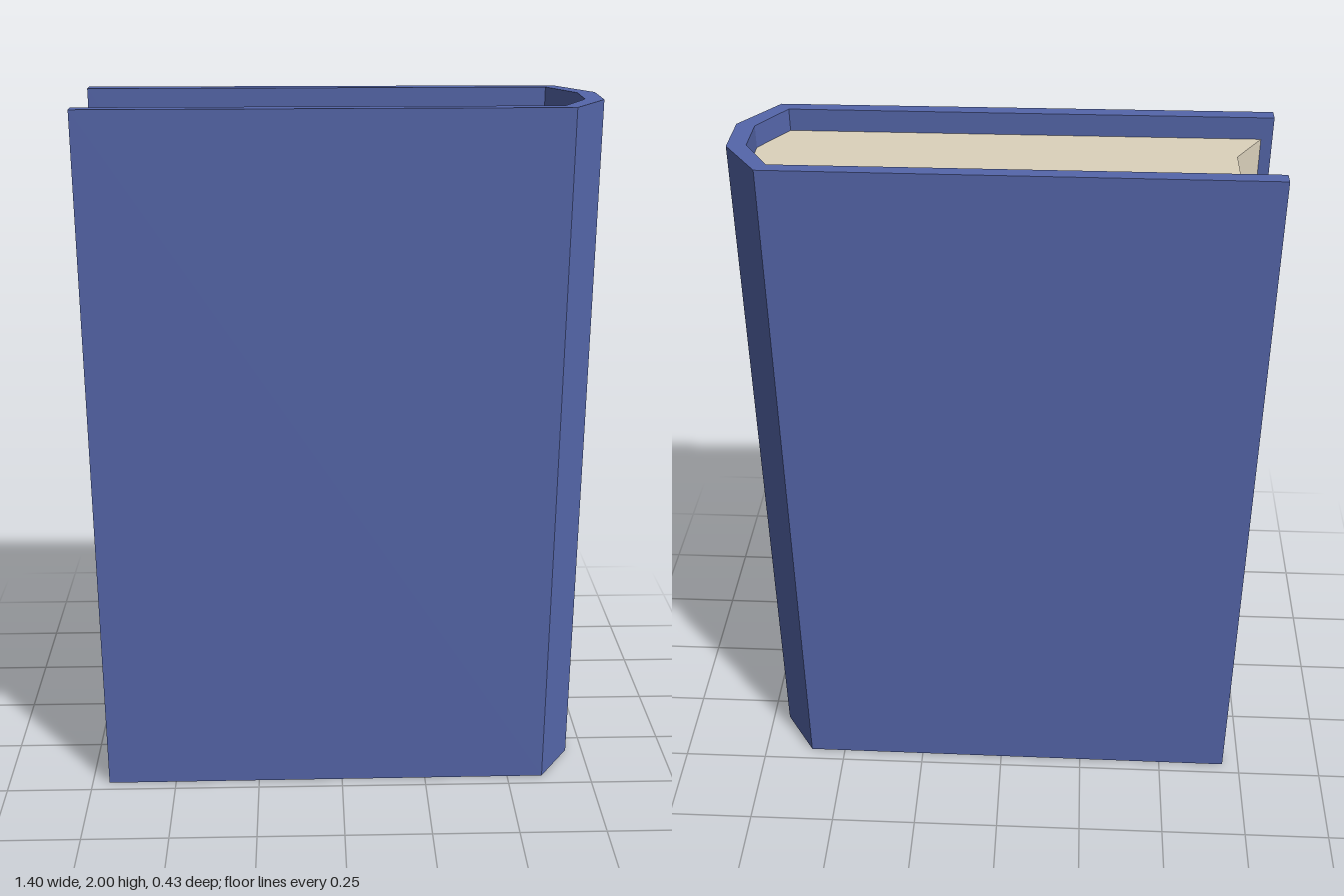
import * as THREE from 'three';

// Extrudes an outline that is mirrored across z = 0, standing from y0 to y1.
// half lists [x, z] points along the z > 0 side.
function mirroredPrism(half, y0, y1, material, name) {
  const other = half.map(([x, z]) => [x, -z]).reverse();
  const shape = new THREE.Shape([...half, ...other].map(([x, z]) => new THREE.Vector2(x, z)));
  const geometry = new THREE.ExtrudeGeometry(shape, { depth: y1 - y0, bevelEnabled: false });
  geometry.rotateX(-Math.PI / 2);
  geometry.translate(0, y0, 0);
  const mesh = new THREE.Mesh(geometry, material);
  mesh.name = name;
  return mesh;
}

export function createModel() {
  const blue = new THREE.MeshStandardMaterial({ color: 0x5566aa });
  blue.name = 'blue cover';
  const cream = new THREE.MeshStandardMaterial({ color: 0xdcd2bc });
  cream.name = 'cream paper';

  const book = new THREE.Group();
  book.name = 'book';

  // Cover: two boards joined by a faceted spine at +x, open at -x
  const cover = [
    [-0.7, 0.175], [-0.7, 0.215], [0.605, 0.21], [0.7, 0.07],
  ];
  const inside = [[0.65, 0.06], [0.58, 0.175], [-0.7, 0.175]];
  const outline = [
    ...cover.slice(1),
    ...cover.slice(1).map(([x, z]) => [x, -z]).reverse(),
    ...inside.map(([x, z]) => [x, -z]).reverse(),
    ...inside,
  ];
  const coverShape = new THREE.Shape(outline.map(([x, z]) => new THREE.Vector2(x, z)));
  const coverGeometry = new THREE.ExtrudeGeometry(coverShape, { depth: 2, bevelEnabled: false });
  coverGeometry.rotateX(-Math.PI / 2);
  const coverMesh = new THREE.Mesh(coverGeometry, blue);
  coverMesh.name = 'cover';
  book.add(coverMesh);

  // Page block: rounded into the spine, hollow at the fore edge, set in at top and bottom
  const pages = [[-0.6, 0.06], [-0.67, 0.175], [0.58, 0.175], [0.65, 0.06]];
  book.add(mirroredPrism(pages, 0.06, 1.94, cream, 'pages'));

  return book;
}
